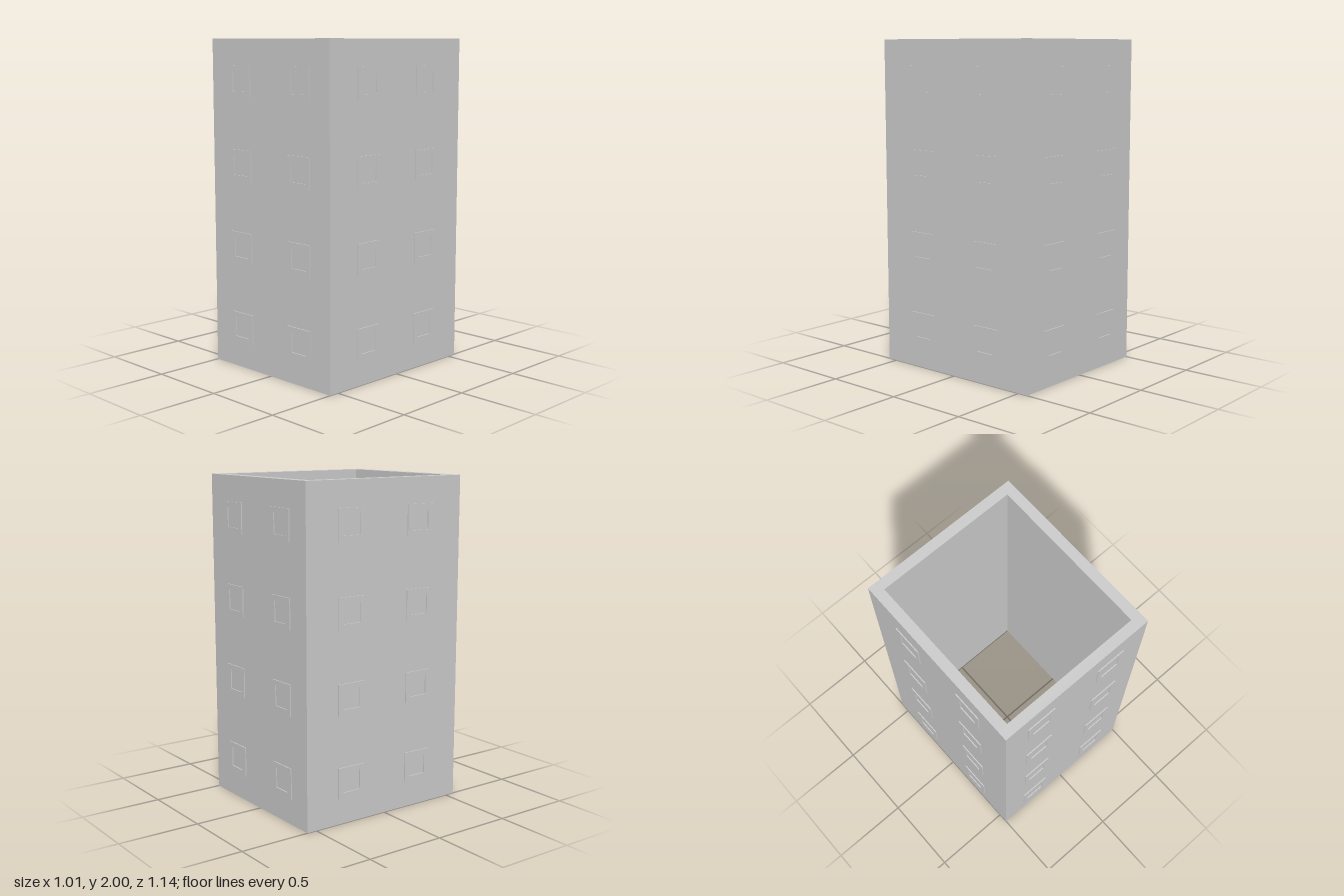
import * as THREE from 'three';

const H = 2, T = 0.0625;      // tower height, wall thickness
const X = 0.5, Z = 0.5625;    // half width, half depth

export function createModel() {
  const tower = new THREE.Group();
  tower.name = 'tower';
  const mat = new THREE.MeshStandardMaterial({ color: 0xcccccc });

  // Four walls: front and back run full width, the sides fit between them
  const addWall = (name, w, d, x, z) => {
    const wall = new THREE.Mesh(new THREE.BoxGeometry(w, H, d), mat);
    wall.name = name;
    wall.position.set(x, H / 2, z);
    tower.add(wall);
  };
  addWall('frontWall', 2 * X, T, 0, Z - T / 2);
  addWall('backWall', 2 * X, T, 0, -Z + T / 2);
  addWall('leftWall', T, 2 * (Z - T), X - T / 2, 0);
  addWall('rightWall', T, 2 * (Z - T), -X + T / 2, 0);

  // Square window frame, standing slightly proud of the wall
  const square = (path, r) =>
    path.moveTo(-r, -r).lineTo(r, -r).lineTo(r, r).lineTo(-r, r).closePath();
  const outline = square(new THREE.Shape(), 0.0935);
  outline.holes.push(square(new THREE.Path(), 0.06));
  const frameGeo = new THREE.ExtrudeGeometry(outline, { depth: 0.0075, bevelEnabled: false });
  frameGeo.translate(0, 0, -0.001);

  // Two columns of four windows on every wall
  const sides = [['front', Z], ['left', X], ['back', Z], ['right', X]];
  sides.forEach(([side, offset], i) => {
    const windows = new THREE.Group();
    windows.name = side + 'Windows';
    windows.rotation.y = i * Math.PI / 2;
    for (let row = 0; row < 4; row++) {
      for (const u of [-0.25, 0.25]) {
        const frame = new THREE.Mesh(frameGeo, mat);
        frame.name = 'windowFrame';
        frame.position.set(u, 0.25 + row * 0.5, offset);
        windows.add(frame);
      }
    }
    tower.add(windows);
  });

  return tower;
}
